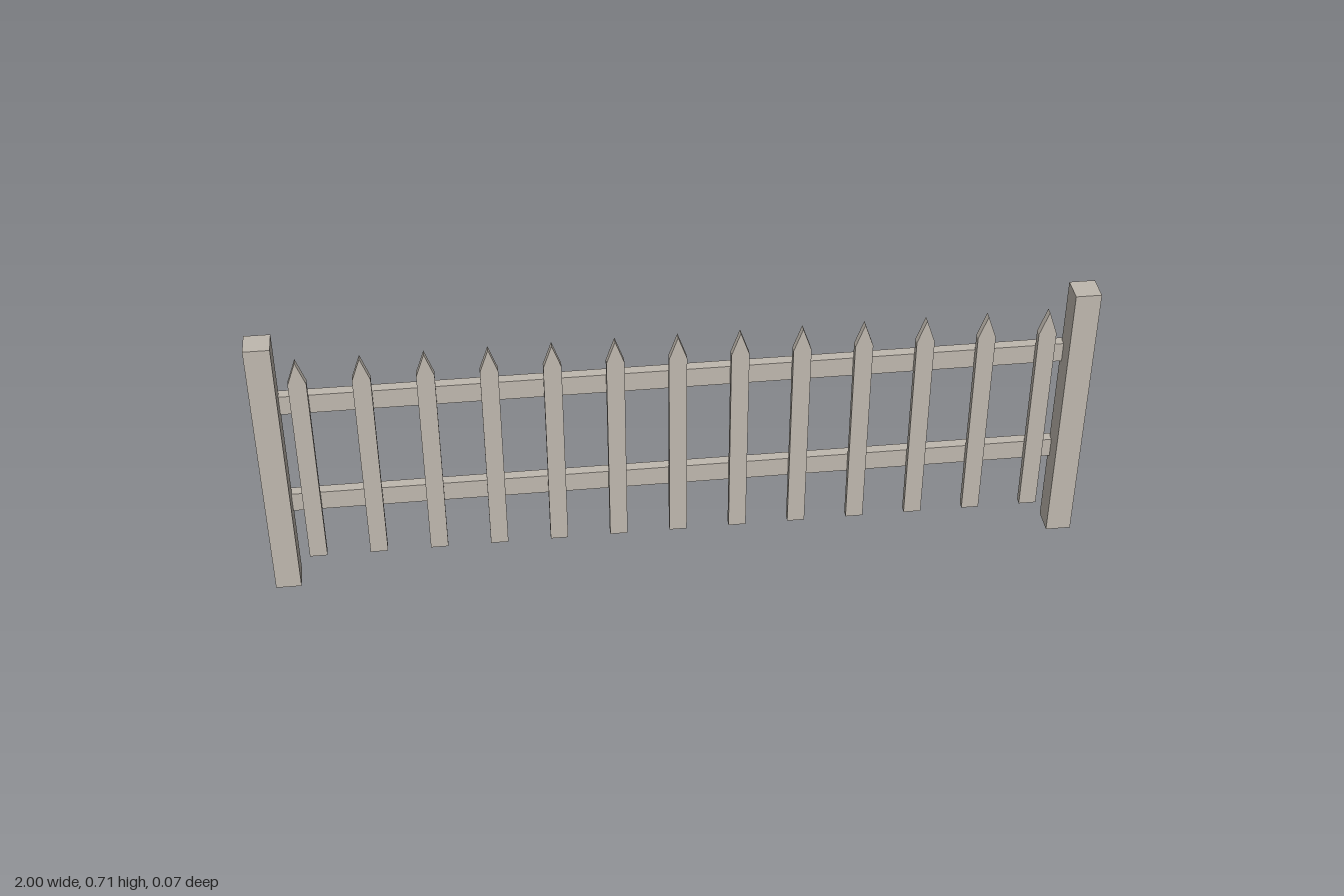
import * as THREE from 'three';

export function createModel() {
  const fence = new THREE.Group();
  fence.name = 'picketFence';

  const wood = new THREE.MeshStandardMaterial({ color: 0xbfb8ae });
  wood.name = 'weatheredWood';

  const add = (name, geometry, x, y, z) => {
    const mesh = new THREE.Mesh(geometry, wood);
    mesh.name = name;
    mesh.position.set(x, y, z);
    fence.add(mesh);
  };

  // Square end posts
  const post = new THREE.BoxGeometry(0.062, 0.71, 0.064);
  add('leftPost', post, 0.969, 0.355, 0.005);
  add('rightPost', post, -0.969, 0.355, 0.005);

  // Horizontal rails set into the back of the posts
  const rail = new THREE.BoxGeometry(1.934, 0.051, 0.026);
  add('lowerRail', rail, 0, 0.226, -0.024);
  add('upperRail', rail, 0, 0.517, -0.024);

  // Pointed pickets on the front of the rails
  const half = 0.0215;
  const outline = new THREE.Shape([
    new THREE.Vector2(-half, 0.067),
    new THREE.Vector2(half, 0.067),
    new THREE.Vector2(half, 0.587),
    new THREE.Vector2(0, 0.648),
    new THREE.Vector2(-half, 0.587),
  ]);
  const picket = new THREE.ExtrudeGeometry(outline, { depth: 0.018, bevelEnabled: false });
  const count = 13;
  const spacing = 0.1483;
  for (let i = 0; i < count; i++) {
    add(`picket${i + 1}`, picket, (i - (count - 1) / 2) * spacing, 0, -0.011);
  }

  return fence;
}
